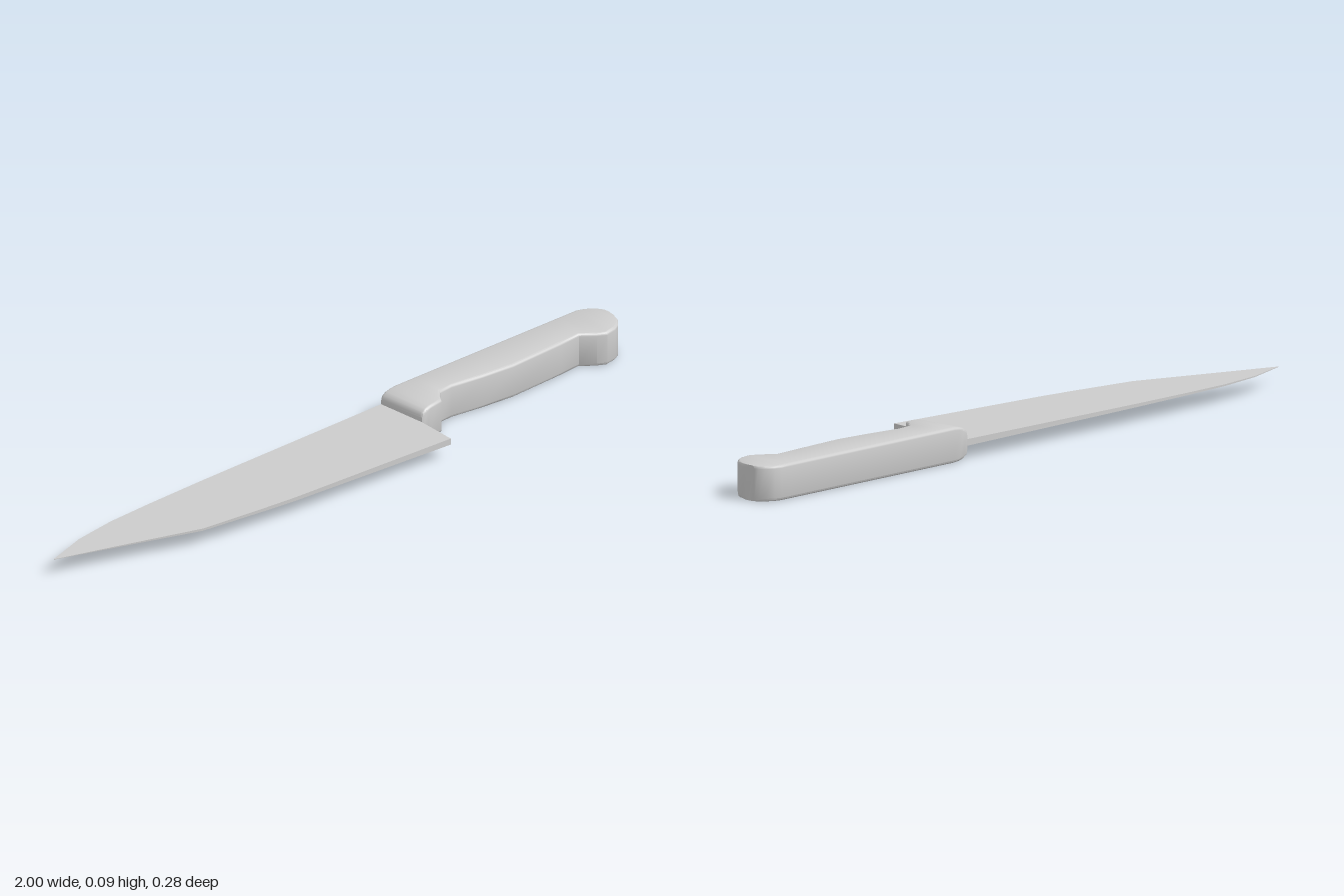
import * as THREE from 'three';
import { toCreasedNormals } from 'three/addons/utils/BufferGeometryUtils.js';

const MID = 0.049; // height of the centre plane

// One rounded-rectangle cross-section at x, spanning z back..front and +-half in y
function section([x, back, front, half], radius, steps) {
  const r = Math.min(radius, half * 0.9, (front - back) * 0.45);
  const corners = [[back, 1, 0], [front, 1, 1], [front, -1, 2], [back, -1, 3]];
  const ring = [];
  for (const [z, sy, q] of corners) {
    const cz = z + (z === back ? r : -r);
    const cy = MID + sy * (half - r);
    for (let i = 0; i <= steps; i++) {
      const t = (q + (steps ? i / steps : 0.5)) * Math.PI / 2;
      ring.push([x, cy + r * Math.sin(t), cz - r * Math.cos(t)]);
    }
  }
  return ring;
}

// Skin a row of sections running along +x and close both ends
function loft(stations, radius, steps, crease) {
  const rings = stations.map((s) => section(s, radius, steps));
  const n = rings[0].length;
  const index = [];
  for (let i = 0; i < rings.length - 1; i++) {
    for (let j = 0; j < n; j++) {
      const k = (j + 1) % n;
      const a = i * n + j, b = i * n + k, c = b + n, d = a + n;
      index.push(a, b, d, b, c, d);
    }
  }
  const end = (rings.length - 1) * n;
  for (let j = 1; j < n - 1; j++) {
    index.push(0, j + 1, j);
    index.push(end, end + j, end + j + 1);
  }
  const geo = new THREE.BufferGeometry();
  geo.setAttribute('position', new THREE.Float32BufferAttribute(rings.flat(2), 3));
  geo.setIndex(index);
  return toCreasedNormals(geo, crease);
}

export function createModel() {
  const group = new THREE.Group();
  group.name = 'kitchenKnife';
  const material = new THREE.MeshStandardMaterial({ color: 0xcccccc });
  const add = (name, geometry) => {
    const mesh = new THREE.Mesh(geometry, material);
    mesh.name = name;
    group.add(mesh);
  };

  // Blade: [x, spine z, edge z], thinning steadily from heel to tip
  const blade = [
    [-1, -0.066, -0.064], [-0.87, -0.106, -0.02], [-0.74, -0.124, 0.025],
    [-0.6, -0.13, 0.074], [-0.4, -0.134, 0.098], [-0.3, -0.1345, 0.108],
    [0.23, -0.136, 0.138], [0.247, -0.136, 0], [0.28, -0.13, 0],
  ].map(([x, b, f]) => [x, b, f, 0.0006 + 0.008 * Math.min(1, (x + 1) / 1.23)]);
  add('blade', loft(blade, 0, 0, 0.3));

  // Handle: [x, back z, grip z, half height], rounded over where it meets the blade
  const H = 0.047;
  const handle = [
    [0.245, -0.137, 0.016, 0.024], [0.249, -0.138, 0.017, 0.034],
    [0.26, -0.1385, 0.017, 0.041], [0.275, -0.1385, 0.016, 0.045],
    [0.295, -0.1385, 0.015, H], [0.32, -0.1385, 0.011, H],
    [0.337, -0.1385, -0.012, H], [0.355, -0.1385, -0.03, H],
    [0.4, -0.1385, -0.034, H], [0.5, -0.1385, -0.02, H],
    [0.6, -0.1385, -0.011, H], [0.78, -0.1385, -0.02, H],
    [0.85, -0.1385, -0.026, H], [0.885, -0.1385, 0.004, H],
    [0.91, -0.1385, 0.017, H], [0.945, -0.1385, 0.011, H],
    [0.965, -0.132, 0.0, H], [0.985, -0.118, -0.02, H],
    [0.996, -0.103, -0.045, H], [1, -0.092, -0.062, H],
  ];
  add('handle', loft(handle, 0.008, 3, 0.65));

  // Rest the handle on the ground plane
  const box = new THREE.Box3().setFromObject(group);
  group.children.forEach((m) => m.geometry.translate(0, -box.min.y, 0));
  return group;
}
